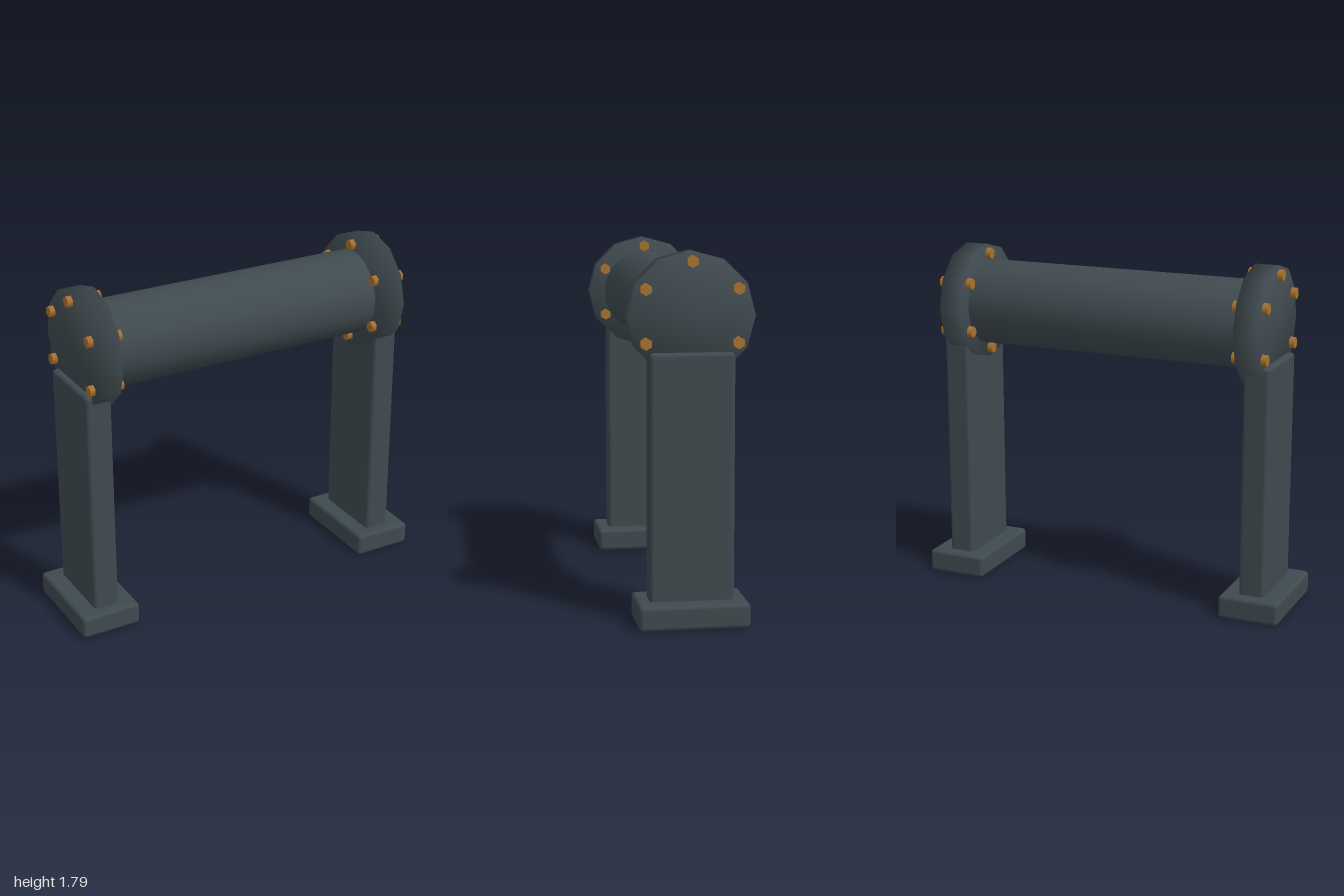
import * as THREE from 'three';
import { mergeVertices } from 'three/addons/utils/BufferGeometryUtils.js';
import { RoundedBoxGeometry } from 'three/addons/geometries/RoundedBoxGeometry.js';

const AXIS_Y = 1.487;

// Cylinder lying along x
function barrel(radius, length, sides, start = 0) {
  return new THREE.CylinderGeometry(radius, radius, length, sides, 1, false, start).rotateZ(Math.PI / 2);
}

// Shares normals across the rim so that it shades softly
function soften(geometry) {
  geometry.deleteAttribute('normal');
  geometry.deleteAttribute('uv');
  const merged = mergeVertices(geometry, 1e-4);
  merged.computeVertexNormals();
  return merged;
}

function add(parent, name, geometry, material, x, y, z = 0) {
  const mesh = new THREE.Mesh(geometry, material);
  mesh.name = name;
  mesh.position.set(x, y, z);
  parent.add(mesh);
}

export function createModel() {
  const model = new THREE.Group();
  model.name = 'pipeOnStands';

  const steel = new THREE.MeshStandardMaterial({ color: 0x3f4a4f });
  steel.name = 'darkSteel';
  const bronze = new THREE.MeshStandardMaterial({ color: 0xa8722f });
  bronze.name = 'bronze';

  // Horizontal pipe
  add(model, 'pipe', soften(barrel(0.223, 1.6, 24)), steel, 0, AXIS_Y);

  const flange = soften(barrel(0.305, 0.125, 12));
  const bolt = barrel(0.03, 0.18, 6, Math.PI / 6);
  const leg = new RoundedBoxGeometry(0.137, 1.25, 0.41, 2, 0.02);
  const foot = new RoundedBoxGeometry(0.32, 0.12, 0.535, 2, 0.02);

  for (const side of [-1, 1]) {
    const end = new THREE.Group();
    end.name = side > 0 ? 'leftEnd' : 'rightEnd';
    model.add(end);

    // Flange with six through bolts
    add(end, 'flange', flange, steel, side * 0.81, AXIS_Y);
    for (let i = 0; i < 6; i++) {
      const a = (i * Math.PI) / 3;
      add(end, 'bolt', bolt, bronze, side * 0.81, AXIS_Y + 0.255 * Math.cos(a), 0.255 * Math.sin(a));
    }

    // Upright and its foot
    add(end, 'leg', leg, steel, side * 0.8375, 0.69);
    add(end, 'foot', foot, steel, side * 0.84, 0.063);
  }
  // Rest the feet on the ground
  model.position.y = -0.003;
  return model;
}
